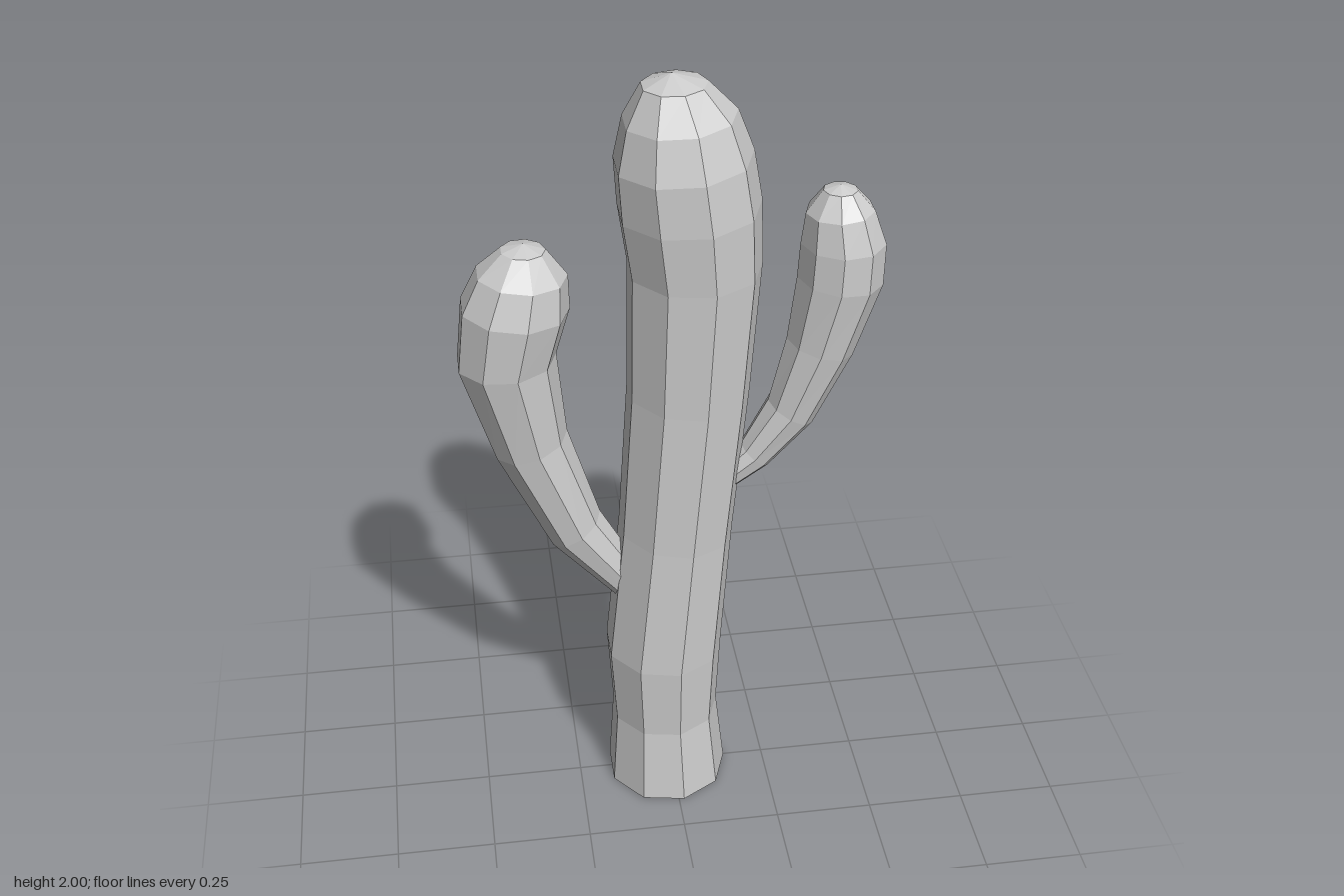
import * as THREE from 'three';

const SIDES = 9;
const material = new THREE.MeshStandardMaterial({
  color: 0xcccccc,
  flatShading: true,
  side: THREE.DoubleSide,
});

// Skins nine-sided rings [x, y, radius, tilt in degrees] and closes them at a tip [x, y].
// The first corner of each ring lies in direction startAngle; the lower end stays open.
function stem(name, rings, tip, startAngle) {
  const positions = [];
  const index = [];
  for (const [x, y, r, tilt] of rings) {
    const t = THREE.MathUtils.degToRad(tilt);
    for (let j = 0; j < SIDES; j++) {
      const a = startAngle + (j / SIDES) * Math.PI * 2;
      const across = r * Math.cos(a);
      positions.push(x + across * Math.cos(t), y - across * Math.sin(t), r * Math.sin(a));
    }
  }
  const apex = positions.length / 3;
  positions.push(tip[0], tip[1], 0);

  for (let i = 0; i < rings.length; i++) {
    for (let j = 0; j < SIDES; j++) {
      const a = i * SIDES + j;
      const b = i * SIDES + ((j + 1) % SIDES);
      if (i === rings.length - 1) index.push(a, apex, b);
      else index.push(a, a + SIDES, b, b, a + SIDES, b + SIDES);
    }
  }

  const geometry = new THREE.BufferGeometry();
  geometry.setAttribute('position', new THREE.Float32BufferAttribute(positions, 3));
  geometry.setIndex(index);
  geometry.computeVertexNormals();
  const mesh = new THREE.Mesh(geometry, material);
  mesh.name = name;
  return mesh;
}

export function createModel() {
  const group = new THREE.Group();
  group.name = 'cactus';

  // Gently swaying trunk with a domed top
  group.add(stem('trunk', [
    [-0.014, 0, 0.159, 0],
    [-0.019, 0.215, 0.14, 0],
    [-0.021, 0.43, 0.152, 2],
    [0.01, 0.8, 0.145, 5],
    [0.04, 1.2, 0.15, 3],
    [0.053, 1.53, 0.159, 0],
    [0.04, 1.68, 0.167, -3],
    [0.026, 1.8, 0.16, -4],
    [0.018, 1.9, 0.13, -4],
    [0.006, 1.975, 0.075, -2],
  ], [0, 2], 0));

  // Larger arm, curving out and up from low on the trunk
  group.add(stem('rightArm', [
    [-0.09, 0.61, 0.045, -42],
    [-0.24, 0.825, 0.073, -32],
    [-0.34, 1.085, 0.092, -16],
    [-0.388, 1.32, 0.118, -3],
    [-0.362, 1.455, 0.128, 5],
    [-0.342, 1.54, 0.106, 5],
    [-0.336, 1.6, 0.052, 2],
  ], [-0.335, 1.615], 0));

  // Smaller arm, starting higher on the other side
  group.add(stem('leftArm', [
    [0.125, 0.93, 0.034, 45],
    [0.205, 1.0, 0.045, 42],
    [0.29, 1.12, 0.063, 30],
    [0.355, 1.3, 0.083, 15],
    [0.395, 1.475, 0.102, 5],
    [0.398, 1.57, 0.1, 0],
    [0.387, 1.65, 0.08, -3],
    [0.385, 1.7, 0.04, 0],
  ], [0.385, 1.712], Math.PI));

  return group;
}
